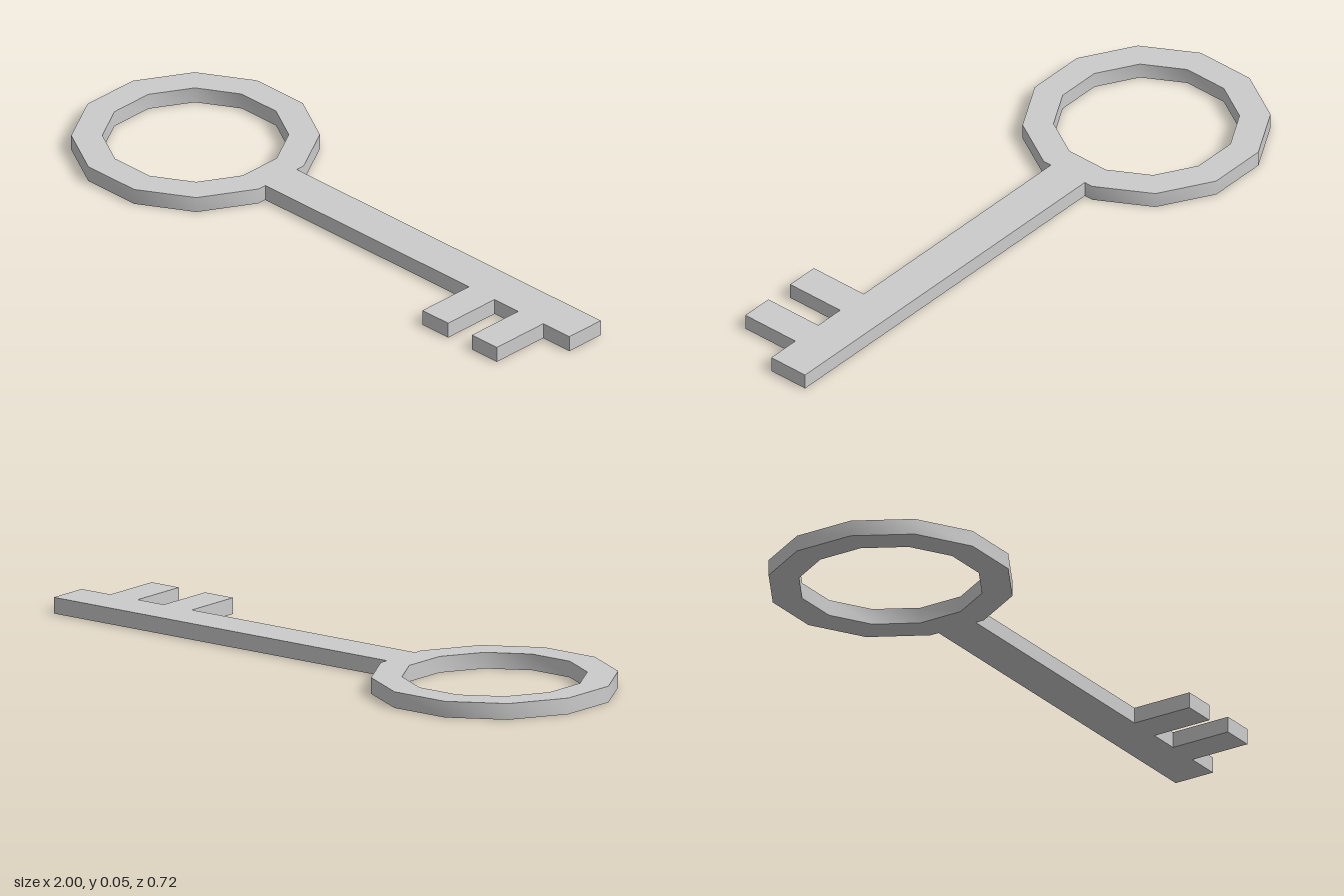
import * as THREE from 'three';
import { toCreasedNormals } from 'three/addons/utils/BufferGeometryUtils.js';

const THICKNESS = 0.05;
const RING_X = -0.64;
const RING_SIDES = 12;

// Corners of a regular polygon with a flat side facing +x, given its apothem
function polygon(apothem) {
  const radius = apothem / Math.cos(Math.PI / RING_SIDES);
  return Array.from({ length: RING_SIDES }, (_, i) => {
    const a = ((i + 0.5) / RING_SIDES) * Math.PI * 2;
    return new THREE.Vector2(RING_X + radius * Math.cos(a), radius * Math.sin(a));
  });
}

// Flat slab lying on the ground, extruded from a plan outline (shape y = -z)
function slab(name, shape, material) {
  const geometry = new THREE.ExtrudeGeometry(shape, { depth: THICKNESS, bevelEnabled: false });
  geometry.rotateX(-Math.PI / 2);
  const mesh = new THREE.Mesh(toCreasedNormals(geometry, 0.7), material);
  mesh.name = name;
  return mesh;
}

export function createModel() {
  const model = new THREE.Group();
  model.name = 'key';
  const material = new THREE.MeshStandardMaterial({ color: 0xcccccc });

  // Twelve-sided ring handle
  const ring = new THREE.Shape(polygon(0.36));
  ring.holes.push(new THREE.Path(polygon(0.27)));
  model.add(slab('ringHandle', ring, material));

  // Shaft with two teeth along its front edge
  const half = 0.067, toothEnd = 0.265, start = RING_X + 0.36;
  const shaft = new THREE.Shape();
  shaft.moveTo(start, -half);
  for (const [x0, x1] of [[0.577, 0.685], [0.785, 0.89]]) {
    shaft.lineTo(x0, -half);
    shaft.lineTo(x0, -toothEnd);
    shaft.lineTo(x1, -toothEnd);
    shaft.lineTo(x1, -half);
  }
  shaft.lineTo(1, -half);
  shaft.lineTo(1, half);
  shaft.lineTo(start, half);
  model.add(slab('shaftWithTeeth', shaft, material));

  return model;
}
